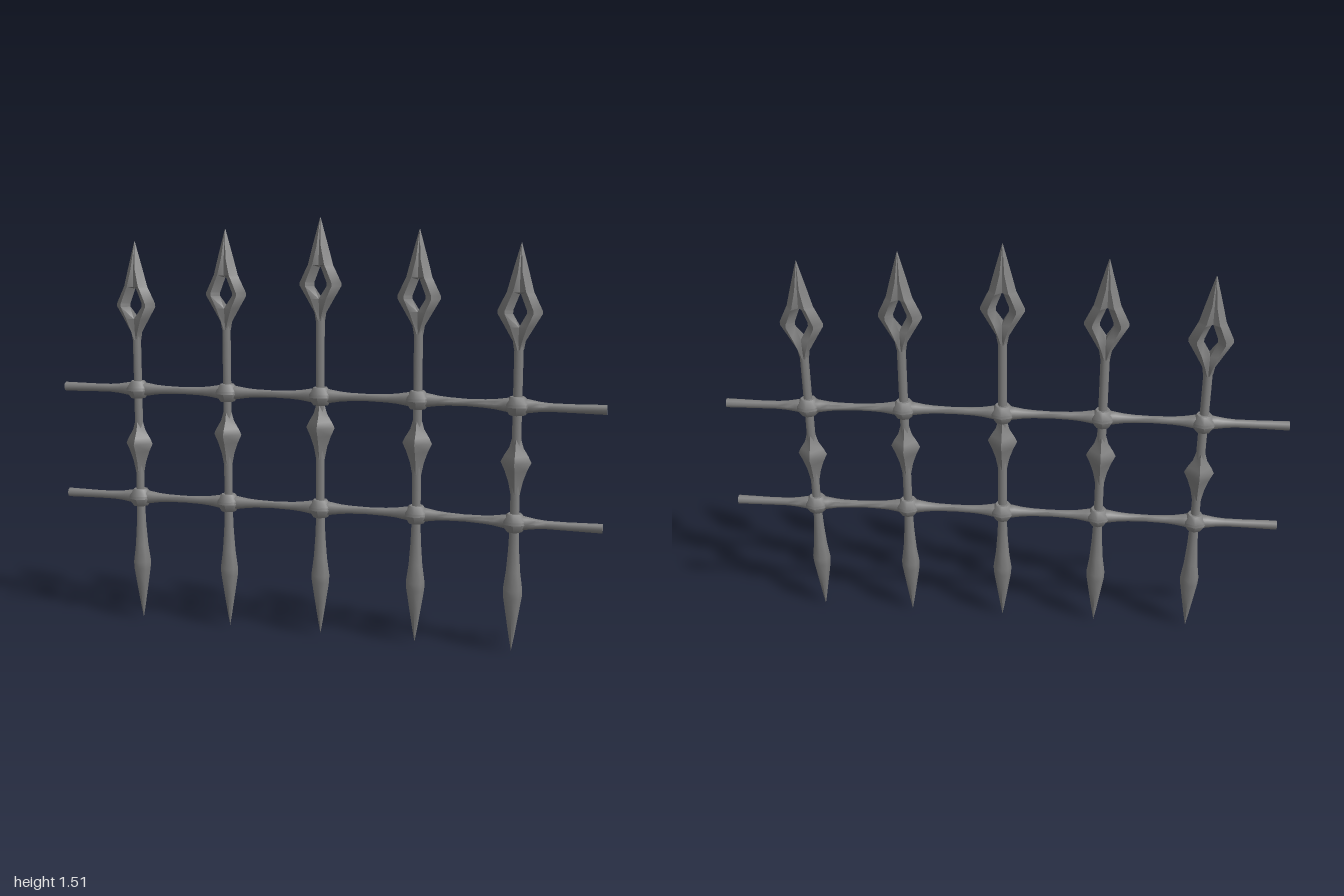
import * as THREE from 'three';
import { toCreasedNormals } from 'three/addons/utils/BufferGeometryUtils.js';

const iron = new THREE.MeshStandardMaterial({ color: 0x808080 });

// Rounds the eight-sided parts and keeps the four-sided ones sharp
function addMesh(parent, name, geometry) {
  const mesh = new THREE.Mesh(toCreasedNormals(geometry, 0.85), iron);
  mesh.name = name;
  parent.add(mesh);
  return mesh;
}

// Turned shape from [radius, height] pairs, lowest first
function turned(profile, sides) {
  return new THREE.LatheGeometry(profile.map(([r, y]) => new THREE.Vector2(r, y)), sides);
}

// One arm of the open spearhead, from sections [y, inner x, ridge x, outer x, depth]
function headArm(side) {
  const sections = [
    [-0.13, 0, 0.004, 0.017, 0.017],
    [-0.10, 0, 0.012, 0.022, 0.022],
    [-0.052, 0, 0.028, 0.050, 0.029],
    [-0.008, 0.023, 0.048, 0.076, 0.030],
    [0.004, 0.023, 0.048, 0.076, 0.030],
    [0.058, 0.002, 0.026, 0.050, 0.030],
    [0.066, 0, 0.022, 0.046, 0.030],
    [0.13, 0, 0.008, 0.029, 0.024],
    [0.23, 0, 0, 0.001, 0.001],
  ];
  const positions = [];
  const index = [];
  for (const [y, inner, ridge, outer, depth] of sections) {
    const innerDepth = inner > 0 ? 0.002 : depth * 0.8;
    positions.push(side * outer, y, 0, side * ridge, y, depth,
      side * inner, y, innerDepth, side * inner, y, -innerDepth, side * ridge, y, -depth);
  }
  for (let i = 0; i < sections.length - 1; i++) {
    for (let j = 0; j < 5; j++) {
      const a = i * 5 + j, b = i * 5 + (j + 1) % 5;
      const c = a + 5, d = b + 5;
      if (side > 0) index.push(a, c, b, b, c, d);
      else index.push(a, b, c, b, d, c);
    }
  }
  const geometry = new THREE.BufferGeometry();
  geometry.setAttribute('position', new THREE.Float32BufferAttribute(positions, 3));
  geometry.setIndex(index);
  return geometry;
}

// The right-hand end of each rail sags slightly
function sag(x) {
  return 0.011 * THREE.MathUtils.clamp((x - 0.35) / 0.5, 0, 1);
}

// Rail with a swelling where it passes each upright
function rail(uprights) {
  const profile = [[0, -1], [0.017, -1], [0.015, -0.88]];
  uprights.forEach((x, i) => {
    profile.push([0.015, x - 0.11], [0.018, x - 0.075], [0.023, x - 0.045], [0.031, x],
      [0.023, x + 0.045], [0.018, x + 0.075], [0.015, x + 0.11]);
    if (i < uprights.length - 1) profile.push([0.013, (x + uprights[i + 1]) / 2]);
  });
  profile.push([0.015, 0.88], [0.017, 1], [0, 1]);
  const geometry = turned(profile, 8).rotateZ(-Math.PI / 2);
  const p = geometry.attributes.position;
  for (let i = 0; i < p.count; i++) p.setY(i, p.getY(i) - sag(p.getX(i)));
  return geometry;
}

export function createModel() {
  const model = new THREE.Group();
  const uprights = [-0.705, -0.353, 0, 0.353, 0.7];
  const tops = [1.43, 1.475, 1.515, 1.475, 1.43];
  const bulges = [0.68, 0.73, 0.77, 0.73, 0.68];
  const railHeights = [0.475, 0.885];

  uprights.forEach((x, i) => {
    const upright = new THREE.Group();
    upright.name = 'upright' + (i + 1);
    upright.position.x = x;
    model.add(upright);

    // Shaft with its pointed foot
    const headY = tops[i] - 0.232;
    addMesh(upright, 'shaft', turned([[0, 0], [0.009, 0.05], [0.022, 0.13], [0.033, 0.2],
      [0.034, 0.225], [0.025, 0.29], [0.019, 0.37], [0.016, 0.45], [0.016, headY - 0.09]], 8));

    // Four-sided bulge between the rails
    addMesh(upright, 'bulge', turned([[0.015, -0.12], [0.025, -0.07], [0.039, -0.03],
      [0.053, 0], [0.042, 0.022], [0.025, 0.05], [0.015, 0.085]], 4)).position.y = bulges[i];

    // Open spearhead
    const head = new THREE.Group();
    head.name = 'spearhead';
    head.position.y = headY;
    upright.add(head);
    addMesh(head, 'leftArm', headArm(1));
    addMesh(head, 'rightArm', headArm(-1));

    // Collars at the rails
    for (const y of railHeights) {
      addMesh(upright, 'collar', turned([[0, -0.033], [0.028, -0.033], [0.047, -0.004],
        [0.045, 0.006], [0.026, 0.031], [0, 0.031]], 8)).position.y = y - sag(x);
    }
  });

  addMesh(model, 'lowerRail', rail(uprights)).position.y = railHeights[0];
  addMesh(model, 'upperRail', rail(uprights)).position.y = railHeights[1];
  return model;
}
